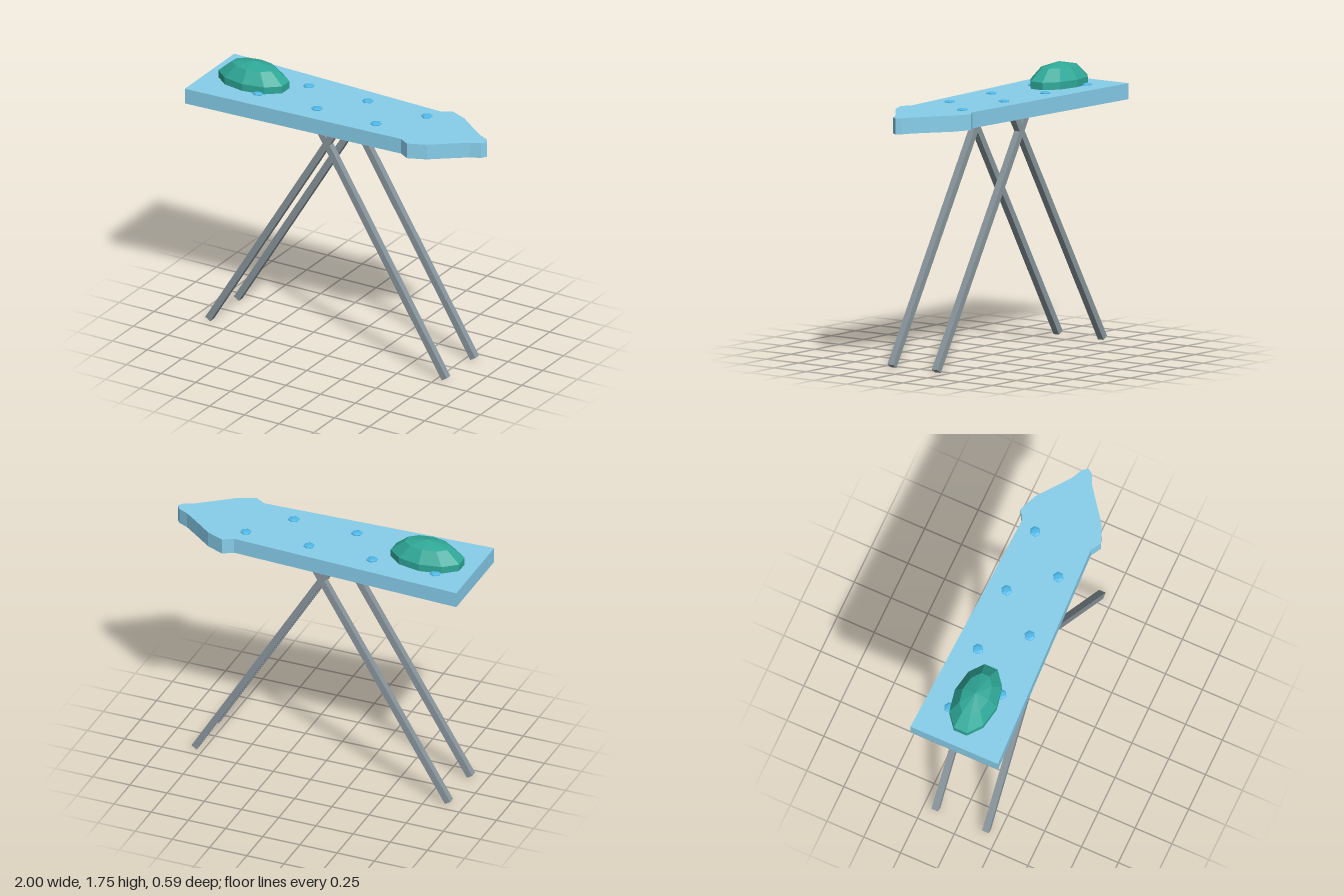
import * as THREE from 'three';

const material = (color) => new THREE.MeshStandardMaterial({ color, flatShading: true });

function addMesh(parent, name, geometry, mat) {
  const mesh = new THREE.Mesh(geometry, mat);
  mesh.name = name;
  parent.add(mesh);
  return mesh;
}

export function createModel() {
  const model = new THREE.Group();
  model.name = 'ironingBoard';
  const boardMat = material(0x87ceeb);
  const studMat = material(0x4fb8e8);
  const domeMat = material(0x2fa898);
  const legMat = material(0x8a979e);

  // Board: tapered slab with flared shoulders and a pointed nose
  const half = [[-1, 0.297], [0.52, 0.234], [0.585, 0.273], [0.7, 0.225], [0.81, 0.14],
    [0.91, 0.065], [0.975, 0.035]];
  const outline = [...half, [1, 0], ...half.map(([x, z]) => [x, -z]).reverse()];
  const shape = new THREE.Shape(outline.map(([x, z]) => new THREE.Vector2(x, z)));
  const slab = new THREE.ExtrudeGeometry(shape, { depth: 0.1, bevelEnabled: false });
  slab.rotateX(-Math.PI / 2);
  addMesh(model, 'board', slab, boardMat).position.y = 1.5;

  // Dome: ten-sided faceted oval mound
  const domeProfile = [[0, 0], [0.951, 0], [0.951, 0.309], [0.588, 0.809], [0, 1]]
    .map(([r, y]) => new THREE.Vector2(r, y));
  const dome = addMesh(model, 'dome', new THREE.LatheGeometry(domeProfile, 10), domeMat);
  dome.scale.set(0.254, 0.15, 0.149);
  dome.position.set(-0.68, 1.6, 0);

  // Studs: seven low hexagonal buttons in two staggered rows
  const studProfile = [[0.035, 0], [0.035, 0.005], [0.02, 0.011], [0, 0.012]]
    .map(([r, y]) => new THREE.Vector2(r, y));
  const studGeometry = new THREE.LatheGeometry(studProfile, 6);
  for (let i = 0; i < 7; i++) {
    const stud = addMesh(model, 'stud', studGeometry, studMat);
    stud.position.set(-0.787 + i * 0.2122, 1.6, i % 2 ? 0.125 : -0.13);
  }

  // Legs: two crossed pairs of square bars
  const addLeg = (name, x0, x1, z) => {
    const foot = new THREE.Vector3(x0, 0.011, z);
    const top = new THREE.Vector3(x1, 1.5, z);
    const dir = top.clone().sub(foot);
    const leg = addMesh(model, name, new THREE.BoxGeometry(0.042, dir.length(), 0.044), legMat);
    leg.position.copy(foot).add(top).multiplyScalar(0.5);
    leg.rotation.z = -Math.atan2(dir.x, dir.y);
  };
  for (const z of [-0.172, 0.172]) {
    addLeg('leftLeg', 0.807, -0.1, z);
    addLeg('rightLeg', -0.897, 0.01, z);
  }
  return model;
}
